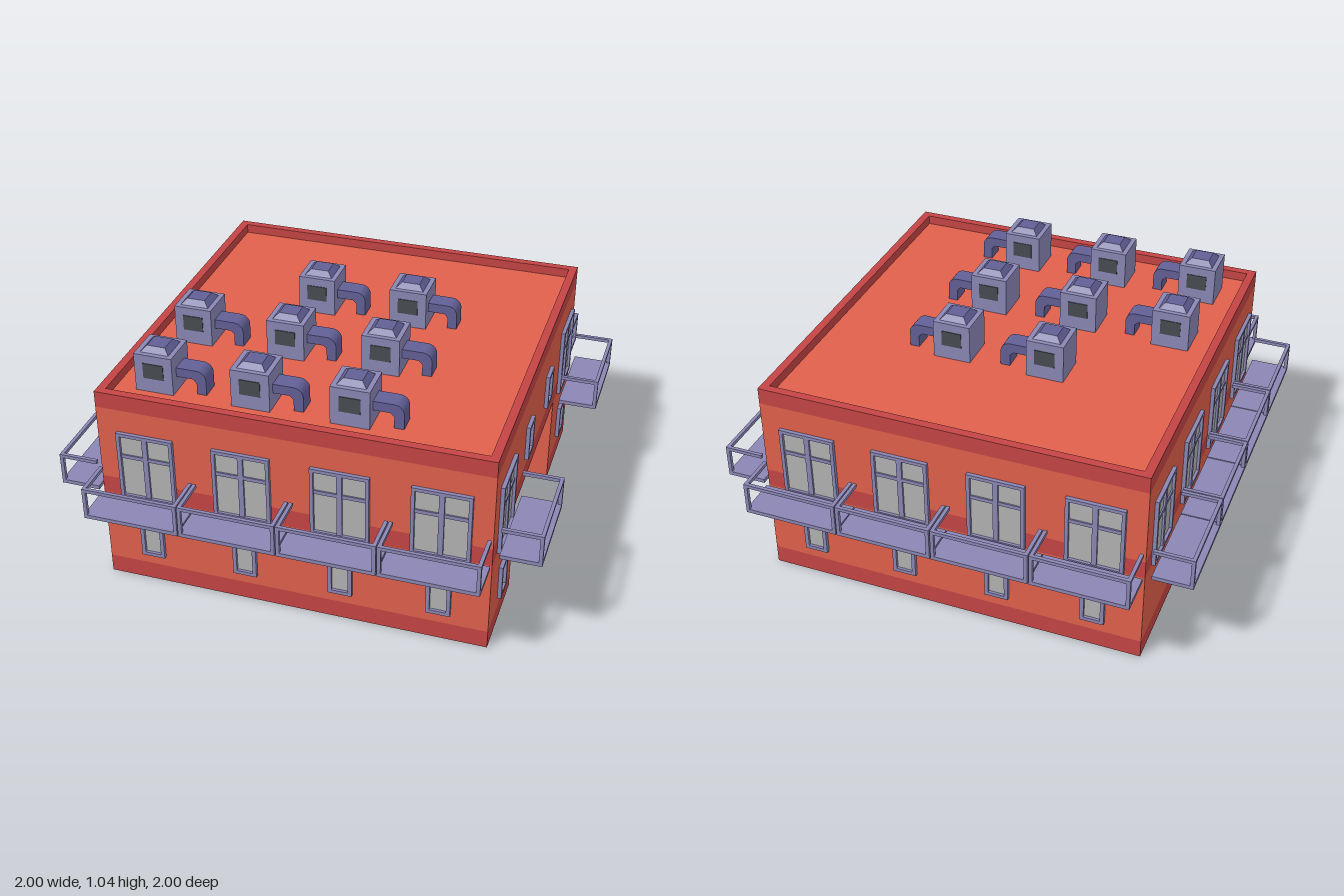
import * as THREE from 'three';

const mat = (color) => new THREE.MeshStandardMaterial({ color, flatShading: true });
const M = {
  wall: mat(0xe0604c), band: mat(0xc44444), frame: mat(0x8a86b4),
  metal: mat(0x625f96), glass: mat(0xb2b2b2), dark: mat(0x474b50),
};
const H = 0.81;    // half width of the building
const B = 0.405;   // one bay

function add(parent, name, geometry, material, x = 0, y = 0, z = 0) {
  const m = new THREE.Mesh(geometry, material);
  m.name = name;
  m.position.set(x, y, z);
  parent.add(m);
  return m;
}

// box given by its extents
function box(parent, name, material, x0, x1, y0, y1, z0, z1) {
  return add(parent, name, new THREE.BoxGeometry(x1 - x0, y1 - y0, z1 - z0), material,
    (x0 + x1) / 2, (y0 + y1) / 2, (z0 + z1) / 2);
}

function group(parent, name, x = 0, y = 0, z = 0) {
  const g = new THREE.Group();
  g.name = name;
  g.position.set(x, y, z);
  parent.add(g);
  return g;
}

// flat plan (x, z) raised from y0 to y1
function plan(parent, name, material, shape, y0, y1) {
  const g = new THREE.ExtrudeGeometry(shape, { depth: y1 - y0, bevelEnabled: false });
  g.rotateX(-Math.PI / 2);
  return add(parent, name, g, material, 0, y0, 0);
}

const square = (r) => [[-r, -r], [r, -r], [r, r], [-r, r]].map(([x, y]) => new THREE.Vector2(x, y));

// framed opening; local z points out of the wall, y = 0 at its foot
function windowUnit(parent, name, x, y, w, h, t, bars = [], mullion = false) {
  const g = group(parent, name, x, y, 0);
  const a = w / 2, d = 0.016;
  box(g, 'glass', M.glass, -a + t, a - t, t, h - t, -0.005, 0.004);
  for (const s of [-1, 1]) {
    const c = s * (a - t / 2);
    box(g, 'frameSide', M.frame, c - t / 2, c + t / 2, 0, h, 0, d);
  }
  box(g, 'frameBottom', M.frame, -a + t, a - t, 0, t, 0, d);
  box(g, 'frameTop', M.frame, -a + t, a - t, h - t, h, 0, d);
  if (mullion) box(g, 'mullion', M.frame, -0.011, 0.011, t, h - t, 0, 0.013);
  for (const b of bars) box(g, 'crossbar', M.frame, -a + t, a - t, b - 0.008, b + 0.008, 0, 0.01);
  return g;
}

// slab with posts and a rail on three sides; local z from the wall face
function balcony(parent, x, y) {
  const g = group(parent, 'balcony', x, y, 0);
  const a = 0.2, z0 = 0.025, z1 = 0.19, r = 0.015, h = 0.14;
  box(g, 'balconyFloor', M.frame, -a, a, 0, 0.017, z0, z1);
  box(g, 'frontRail', M.frame, -a, a, h - r, h, z1 - r, z1);
  for (const s of [-1, 1]) {
    const c = s * (a - r / 2);
    box(g, 'sideRail', M.frame, c - r / 2, c + r / 2, h - r, h, z0, z1 - r);
    box(g, 'post', M.frame, c - r / 2, c + r / 2, 0.017, h - r, z1 - r, z1);
  }
}

// rooftop ventilator with a hipped cap, grilles and a bent duct
function roofUnit(parent, x, z) {
  const g = group(parent, 'roofVentilator', x, 0.85, z);
  box(g, 'housing', M.frame, -0.08, 0.08, 0, 0.165, -0.08, 0.08);
  const cap = new THREE.CylinderGeometry(0.038 * Math.SQRT2, 0.06 * Math.SQRT2, 0.022, 4);
  cap.rotateY(Math.PI / 4);
  add(g, 'cap', cap, M.metal, 0, 0.176, 0);
  for (const s of [-1, 1]) {
    box(g, 'grille', M.dark, -0.043, 0.043, 0.062, 0.128, s * 0.08 - 0.003, s * 0.08 + 0.003);
  }
  const duct = new THREE.Shape();
  duct.moveTo(0.07, 0.105);
  duct.lineTo(0.165, 0.105);
  duct.absarc(0.165, 0.065, 0.04, Math.PI / 2, 0, true);
  duct.lineTo(0.205, 0);
  duct.lineTo(0.165, 0);
  duct.lineTo(0.165, 0.05);
  duct.lineTo(0.15, 0.065);
  duct.lineTo(0.07, 0.065);
  const geo = new THREE.ExtrudeGeometry(duct, { depth: 0.08, bevelEnabled: false, curveSegments: 4 });
  add(g, 'duct', geo, M.metal, 0, 0, -0.04);
}

// glazed door under a small porch; local z points out of the recess wall
function entrance(parent, x) {
  const g = group(parent, 'entrance', x, 0, 0);
  windowUnit(g, 'door', 0, 0, 0.165, 0.325, 0.02, [0.09, 0.225]);
  box(g, 'porchRoof', M.metal, -0.14, 0.14, 0.325, 0.345, 0, 0.1);
  for (const s of [-1, 1]) {
    for (const z of [0.012, 0.085]) {
      box(g, 'porchPost', M.metal, s * 0.125 - 0.01, s * 0.125 + 0.01, 0, 0.325, z - 0.01, z + 0.01);
    }
  }
}

export function createModel() {
  const root = new THREE.Group();
  root.name = 'building';

  // ground floor with the entrance recess on the left side
  const walls = group(root, 'walls');
  const u = new THREE.Shape([[-H, -H], [H, -H], [H, -B], [B, -B], [B, B], [H, B], [H, H], [-H, H]]
    .map(([x, y]) => new THREE.Vector2(x, y)));
  plan(walls, 'baseBand', M.band, u, 0, 0.08);
  plan(walls, 'groundFloorWall', M.wall, u, 0.08, 0.41);
  box(walls, 'recessBackWall', M.frame, B, B + 0.004, 0, 0.41, -B, B);
  for (const s of [-1, 1]) {
    const c = s * (B - 0.002);
    box(walls, 'recessSideWall', M.wall, B, H - 0.001, 0.001, 0.41, c - 0.002, c + 0.002);
  }

  // upper floor, roof and parapet
  box(walls, 'middleBand', M.band, -H, H, 0.41, 0.49, -H, H);
  box(walls, 'upperFloorWall', M.wall, -H, H, 0.49, 0.82, -H, H);
  box(walls, 'roof', M.wall, -0.78, 0.78, 0.81, 0.85, -0.78, 0.78);
  const rim = new THREE.Shape(square(H));
  rim.holes.push(new THREE.Path(square(0.775)));
  plan(walls, 'parapet', M.band, rim, 0.82, 0.89);

  // windows and balconies on the four sides
  const bays = [-0.607, -0.2025, 0.2025, 0.607];
  ['frontSide', 'leftSide', 'backSide', 'rightSide'].forEach((name, i) => {
    const pivot = group(root, name);
    pivot.rotation.y = i * Math.PI / 2;
    const side = group(pivot, name + 'Details', 0, 0, H);
    bays.forEach((x, k) => {
      const overRecess = i === 1 && (k === 1 || k === 2);
      if (overRecess) {
        windowUnit(side, 'smallWindow', x, 0.535, 0.1, 0.155, 0.016);
        return;
      }
      windowUnit(side, 'balconyWindow', x, 0.41, 0.24, 0.31, 0.015, [0.2], true);
      balcony(side, x, i === 1 && k === 0 ? 0.45 : 0.41);
      if (i !== 3) windowUnit(side, 'smallWindow', x, 0.13, 0.1, 0.155, 0.016);
    });
  });

  // entrances and the domed lamps in the recess
  const recess = group(root, 'entranceRecess', B + 0.004, 0, 0);
  recess.rotation.y = Math.PI / 2;
  const shade = M.frame.clone();
  shade.flatShading = false;
  shade.side = THREE.DoubleSide;
  for (const s of [-1, 1]) {
    entrance(recess, s * 0.205);
    const lamp = group(root, 'ceilingLamp', 0.607, 0.33, s * 0.205);
    add(lamp, 'lampShade', new THREE.SphereGeometry(0.08, 24, 10, 0, Math.PI * 2, 0, Math.PI / 2), shade);
    add(lamp, 'lampGlass', new THREE.CylinderGeometry(0.064, 0.064, 0.01, 24), M.glass, 0, 0.012, 0);
  }

  // rooftop ventilators
  for (const z of bays.slice(1)) {
    for (const x of bays.slice(0, 3)) {
      if (!(x < -0.5 && z < 0)) roofUnit(root, x, z);
    }
  }
  return root;
}
